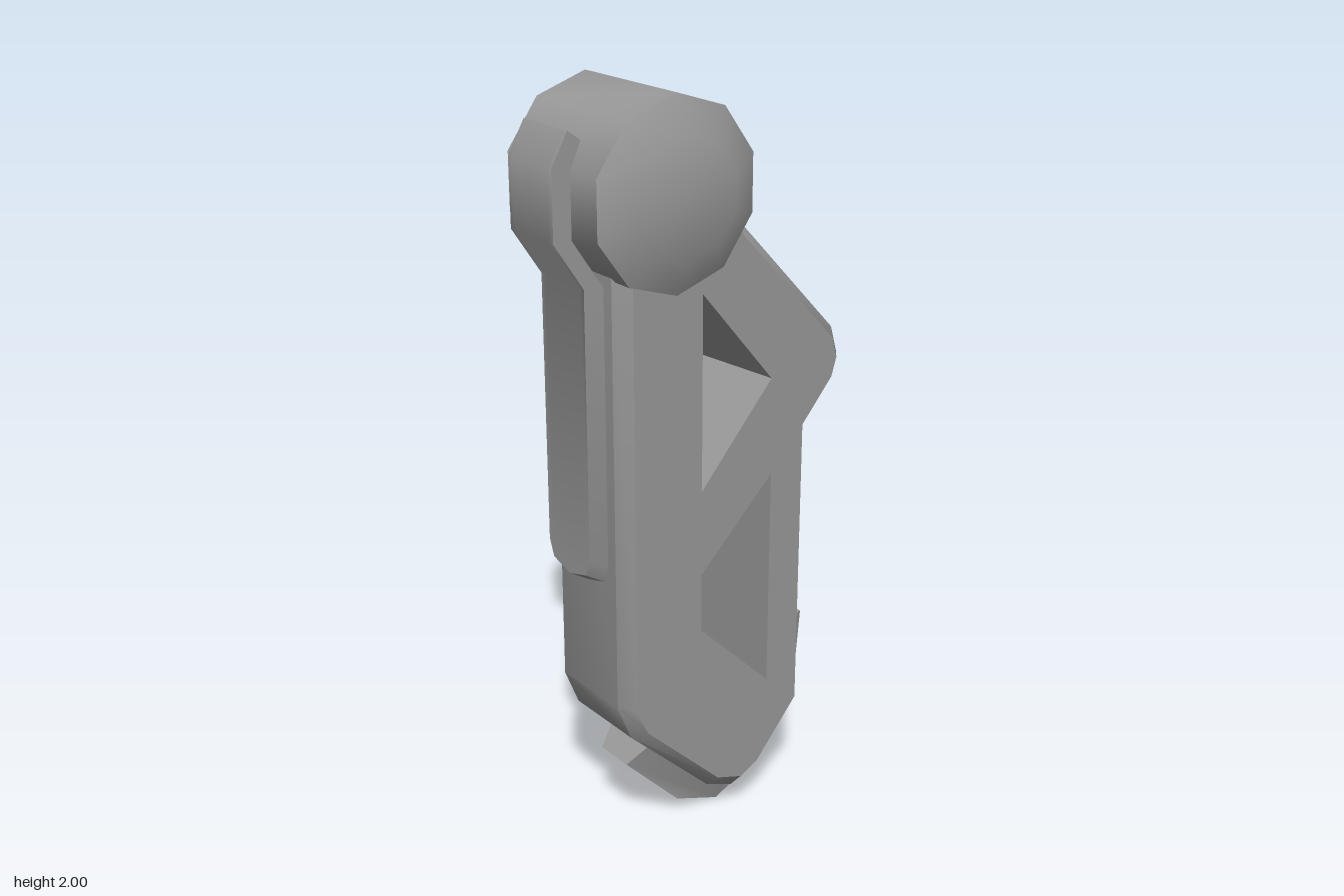
import * as THREE from 'three';
import { toCreasedNormals } from 'three/addons/utils/BufferGeometryUtils.js';

const CREASE = 0.72;

// Lofts rings of [x, y, z] stacked along x (counter-clockwise seen from +x),
// closes both ends, and cuts holes given as pairs of rings [left, right].
function solid(rings, holes = []) {
  const pos = [];
  const tri = (a, b, c) => pos.push(...a, ...b, ...c);
  const walls = (r0, r1, flip) => r0.forEach((a0, i) => {
    const j = (i + 1) % r0.length;
    const [b0, b1, a1] = [r0[j], r1[j], r1[i]];
    if (flip) { tri(a0, b1, b0); tri(a0, a1, b1); }
    else { tri(a0, b0, b1); tri(a0, b1, a1); }
  });
  const cap = (ring, holeRings, sign) => {
    const flat = (r) => r.map(([, y, z]) => new THREE.Vector2(-z, y));
    const all = [ring, ...holeRings].flat();
    const pts = flat(all);
    const outline = flat(ring);
    const cuts = holeRings.map((h) => flat(h));
    for (const [a, b, c] of THREE.ShapeUtils.triangulateShape(outline, cuts)) {
      const area = (pts[b].x - pts[a].x) * (pts[c].y - pts[a].y)
        - (pts[b].y - pts[a].y) * (pts[c].x - pts[a].x);
      if (area * sign > 0) tri(all[a], all[b], all[c]);
      else tri(all[a], all[c], all[b]);
    }
  };
  for (let i = 0; i + 1 < rings.length; i++) walls(rings[i], rings[i + 1], false);
  holes.forEach(([h0, h1]) => walls(h0, h1, true));
  cap(rings[0], holes.map((h) => h[0]), -1);
  cap(rings[rings.length - 1], holes.map((h) => h[1]), 1);
  const geo = new THREE.BufferGeometry();
  geo.setAttribute('position', new THREE.Float32BufferAttribute(pos, 3));
  return toCreasedNormals(geo, CREASE);
}

// Places a [z, y] profile at a given x
const at = (x, profile) => profile.map(([z, y]) => [x, y, z]);

export function createModel() {
  const group = new THREE.Group();
  const grey = new THREE.MeshStandardMaterial({ color: 0x999999 });
  grey.name = 'grey';
  const add = (name, geo) => {
    const mesh = new THREE.Mesh(geo, grey);
    mesh.name = name;
    group.add(mesh);
  };

  // Frame: chamfered plate with two tapering cut-outs
  const outer = [[0.29, 1.72], [0.29, 0.45], [0.25, 0.35], [0, 0.11], [-0.085, 0.075], [-0.16, 0.12],
    [-0.31, 0.29], [-0.31, 1.09], [-0.4, 1.2], [-0.42, 1.26], [-0.4, 1.33], [-0.03, 1.72]];
  const inset = [[0.255, 1.7], [0.255, 0.44], [0.222, 0.37], [-0.01, 0.145], [-0.09, 0.118], [-0.145, 0.145],
    [-0.278, 0.3], [-0.278, 1.1], [-0.373, 1.21], [-0.388, 1.26], [-0.372, 1.315], [-0.02, 1.69]];
  const W = 0.155, F = 0.118;
  add('frame', solid([at(-F, inset), at(-W, outer), at(W, outer), at(F, inset)].map((r, i) =>
    // the chamfer runs from the outer rim to the side faces
    r.map(([, y, z]) => [[-W, -F, F, W][i], y, z])), [
    [at(-W, [[0.05, 1.46], [0.05, 1.04], [-0.138, 1.25]]),
      at(W, [[0.05, 1.51], [0.05, 1.0], [-0.17, 1.25]])],
    [at(-W, [[0.02, 0.77], [0.02, 0.635], [-0.175, 0.43], [-0.175, 0.96]]),
      at(W, [[0.05, 0.77], [0.05, 0.61], [-0.175, 0.39], [-0.175, 0.99]])],
  ]));

  // Barrel: ten-sided drum with coned ends, lying across the top
  const drum = new THREE.LatheGeometry(
    [[0, -0.222], [0.145, -0.222], [0.235, -0.178], [0.235, 0.178], [0.145, 0.222], [0, 0.222]]
      .map(([r, h]) => new THREE.Vector2(r, h)), 10, Math.PI / 10);
  drum.rotateZ(-Math.PI / 2).translate(0, 1.765, 0.145);
  add('topBarrel', toCreasedNormals(drum, CREASE));

  // Front clip: strip with a rounded lower end, bent around the barrel
  const clip = [[-0.087, 0.83], [-0.07, 0.785], [0, 0.765], [0.07, 0.785], [0.087, 0.83]];
  add('frontClip', solid(clip.map(([x, low]) => at(x, [
    [0.38, 1.93], [0.425, 1.85], [0.425, 1.68], [0.345, 1.56], [0.345, low + 0.04], [0.28, low],
    [0.28, 1.54], [0.375, 1.68], [0.375, 1.84], [0.345, 1.905]]))));

  // Foot skid: band around the lower end, narrower on its outer face
  const band = [[0.22, 0.225], [0.05, 0.05], [-0.085, 0], [-0.21, 0.06], [-0.36, 0.26], [-0.38, 0.49]];
  const root = [[-0.3, 0.49], [-0.295, 0.3], [-0.15, 0.14], [-0.085, 0.1], [-0.01, 0.13], [0.16, 0.28]];
  add('footSkid', solid([-1, 1].map((s) => [...at(s * 0.055, band), ...at(s * 0.085, root)])));

  return group;
}
